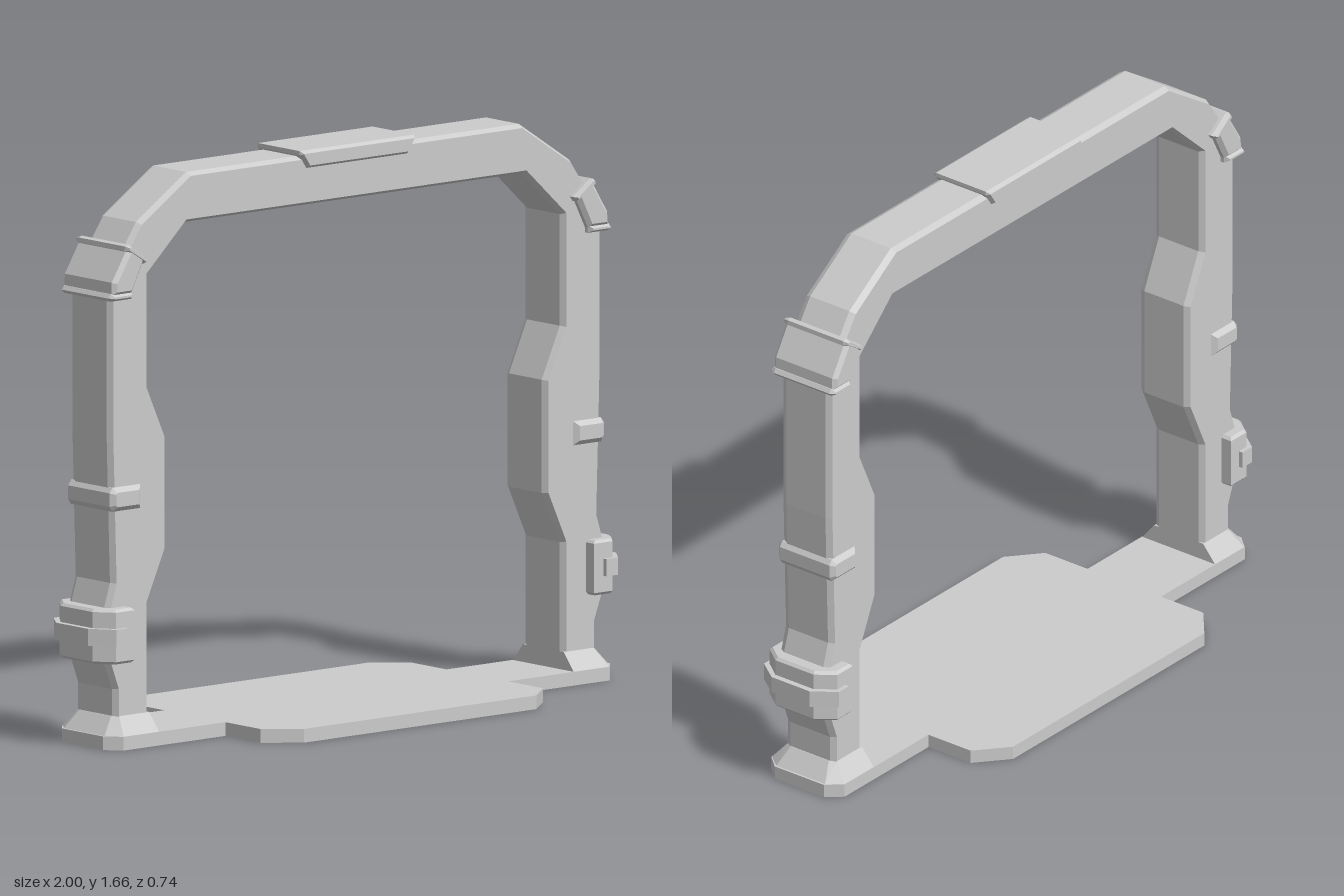
import * as THREE from 'three';
import { ConvexGeometry } from 'three/addons/geometries/ConvexGeometry.js';

export function createModel() {
  const group = new THREE.Group();
  const material = new THREE.MeshStandardMaterial({ color: 0xcccccc, flatShading: true });

  const add = (name, geometry) => {
    const mesh = new THREE.Mesh(geometry, material);
    mesh.name = name;
    group.add(mesh);
  };
  const shapeOf = (points) => new THREE.Shape(points.map(([x, y]) => new THREE.Vector2(x, y)));
  const flipX = (points) => points.map(([x, y]) => [-x, y]);

  // Front outline given depth along z, with chamfered edges
  const slab = (points, halfDepth, bevel, bevelDepth = bevel) =>
    new THREE.ExtrudeGeometry(shapeOf(points), {
      depth: 2 * (halfDepth - bevelDepth), bevelEnabled: true, bevelSegments: 1,
      bevelSize: bevel, bevelOffset: -bevel, bevelThickness: bevelDepth,
    }).translate(0, 0, bevelDepth - halfDepth);

  // Plan outline (symmetric in z) raised from y0 to y1, with chamfered rims
  const plan = (points, y0, y1, bevel = 0) =>
    new THREE.ExtrudeGeometry(shapeOf(points), {
      depth: y1 - y0 - 2 * bevel, bevelEnabled: bevel > 0, bevelSegments: 1,
      bevelSize: bevel, bevelOffset: -bevel, bevelThickness: bevel,
    }).rotateX(-Math.PI / 2).translate(0, y0 + bevel, 0);

  // Complete a half outline with its reflection in z
  const closeZ = (half) => [...half, ...half.map(([x, z]) => [x, -z]).reverse()];

  // Arched frame: right outer edge going up, right inner edge coming back down
  const outer = [
    [0.91, 0.04], [0.91, 0.17], [0.94, 0.25], [0.94, 0.41], [0.918, 0.48],
    [0.93, 0.89], [0.93, 1.36], [0.82, 1.52], [0.63, 1.645],
  ];
  const inner = [
    [0.64, 1.5], [0.785, 1.365], [0.785, 1.04], [0.717, 0.89],
    [0.717, 0.56], [0.785, 0.41], [0.785, 0.04],
  ];
  add('archFrame', slab(
    [...outer, ...flipX(outer).reverse(), ...flipX(inner).reverse(), ...inner], 0.09, 0.01, 0.018));

  // Base plate with a wide centre and narrow ends
  const quarter = [[0.96, 0.09], [0.92, 0.135], [0.535, 0.135], [0.535, 0.29], [0.44, 0.37]];
  add('basePlate', plan(closeZ([...quarter, ...flipX(quarter).reverse()]), 0, 0.04));

  // Cap on the crossbar, flaring upwards
  add('topCap', slab([[-0.19, 1.61], [0.19, 1.61], [0.217, 1.65], [0.217, 1.662],
    [-0.217, 1.662], [-0.217, 1.65]], 0.103, 0.008, 0.012));

  for (const side of [1, -1]) {
    const label = side > 0 ? 'left' : 'right';
    const m = (points) => points.map(([x, y]) => [side * x, y]);

    // Flared foot
    const ring = (points, y) => closeZ(points).map(([x, z]) => new THREE.Vector3(side * x, y, z));
    add(label + 'Foot', new ConvexGeometry([
      ...ring([[0.785, 0.135], [0.92, 0.135], [0.955, 0.09]], 0.038),
      ...ring([[0.785, 0.09], [0.898, 0.09], [0.912, 0.07]], 0.092),
    ]));

    // Clamp and the strap around it
    add(label + 'Clamp', plan(m(closeZ([[0.87, 0.125], [0.94, 0.125], [0.982, 0.07]])), 0.25, 0.41, 0.008));
    add(label + 'ClampStrap', plan(m(closeZ([[0.905, 0.138], [0.95, 0.138], [1, 0.07]])), 0.305, 0.355));

    // Small clip halfway up the leg
    add(label + 'Clip', slab(m([[0.82, 0.69], [0.925, 0.69], [0.936, 0.705],
      [0.936, 0.745], [0.925, 0.76], [0.82, 0.76]]), 0.105, 0.014));

    // Shoulder band with a raised rim at each end
    add(label + 'Band', slab(m([[0.865, 1.32], [0.94, 1.32], [0.938, 1.36],
      [0.877, 1.458], [0.815, 1.42]]), 0.115, 0.012));
    add(label + 'BandLowerRim', slab(m([[0.865, 1.305], [0.942, 1.305], [0.95, 1.315],
      [0.942, 1.327], [0.865, 1.327]]), 0.118, 0.008, 0.016));
    add(label + 'BandUpperRim', slab(m([[0.808, 1.416], [0.818, 1.402], [0.888, 1.446],
      [0.887, 1.46], [0.874, 1.464]]), 0.118, 0.006, 0.016));
  }
  return group;
}
